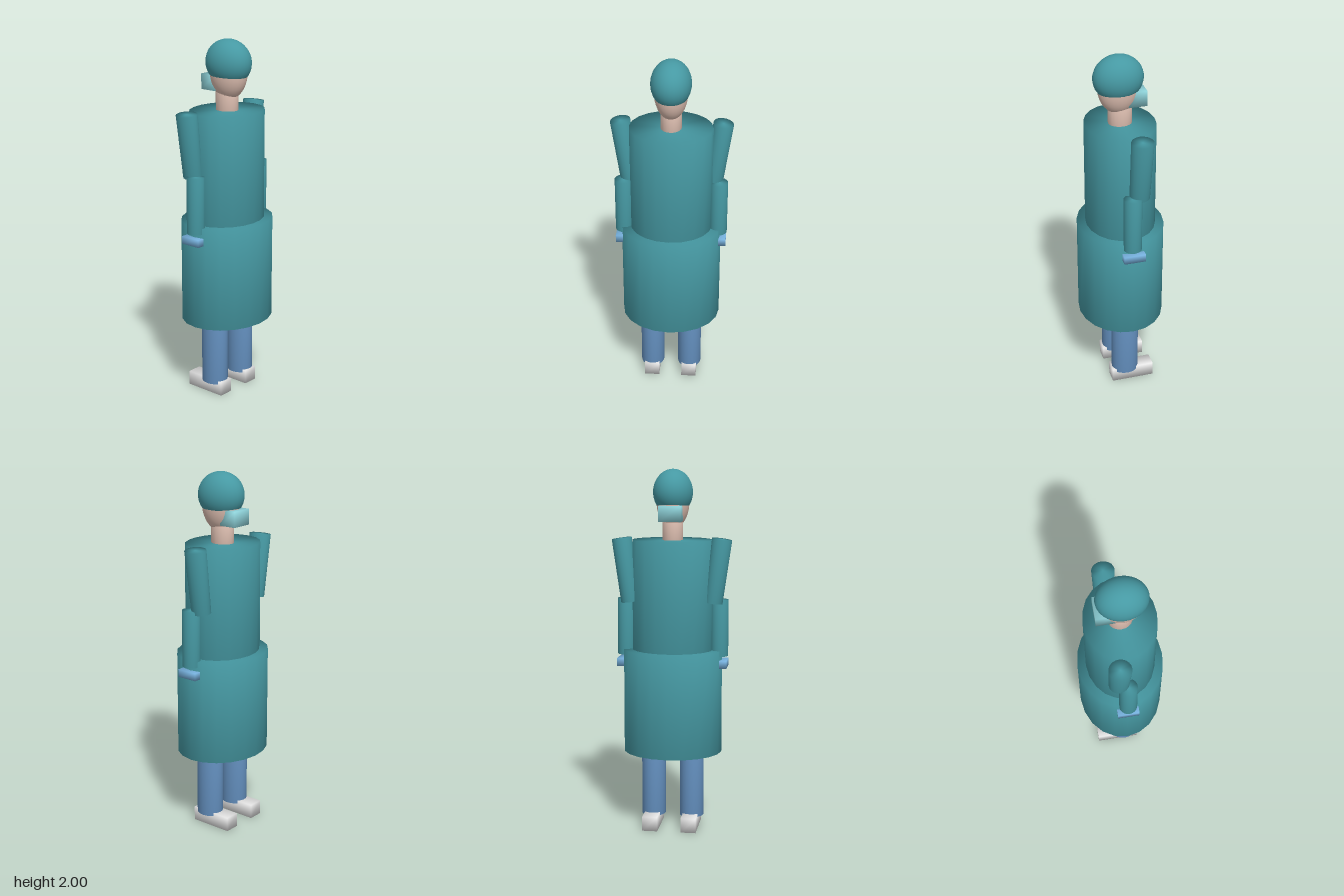
import * as THREE from 'three';
import { mergeVertices } from 'three/addons/utils/BufferGeometryUtils.js';

const paint = (name, color) => {
  const m = new THREE.MeshStandardMaterial({ color });
  m.name = name;
  return m;
};

// Share vertices across edges so the shading rolls softly over them
function soften(geometry) {
  geometry.deleteAttribute('uv');
  geometry.deleteAttribute('normal');
  const g = mergeVertices(geometry, 1e-4);
  g.computeVertexNormals();
  return g;
}

export function createModel() {
  const model = new THREE.Group();
  model.name = 'surgeon';

  const teal = paint('surgical teal', 0x4699a3);
  const skin = paint('skin', 0xdebfb1);
  const trouserBlue = paint('trouser blue', 0x6490bf);
  const gloveBlue = paint('glove blue', 0x76b0dc);
  const maskBlue = paint('mask pale blue', 0x8fd3da);
  const shoeWhite = paint('shoe white', 0xe8e8e8);

  const add = (name, geometry, material, x, y, z) => {
    const mesh = new THREE.Mesh(geometry, material);
    mesh.name = name;
    mesh.position.set(x, y, z);
    model.add(mesh);
    return mesh;
  };

  // Closed elliptical column between two heights
  const column = (rx, rz, y0, y1, segments = 20) =>
    soften(new THREE.CylinderGeometry(1, 1, y1 - y0, segments).scale(rx, 1, rz));
  const addColumn = (name, material, x, z, rx, rz, y0, y1) =>
    add(name, column(rx, rz, y0, y1), material, x, (y0 + y1) / 2, z);

  // Gown
  addColumn('gownSkirt', teal, 0, 0, 0.275, 0.238, 0.435, 1.012);
  addColumn('gownTorso', teal, 0, 0, 0.225, 0.191, 1.0, 1.617);

  // Head, neck and cap
  addColumn('neck', skin, 0, 0, 0.057, 0.065, 1.58, 1.74);
  add('head', new THREE.SphereGeometry(1, 28, 20).scale(0.09, 0.155, 0.113), skin, 0, 1.83, 0.01);
  const capCut = Math.acos(-0.6);
  const capSide = new THREE.SphereGeometry(1, 28, 20, 0, Math.PI * 2, 0, capCut);
  const cap = add('cap', capSide.scale(0.108, 0.125, 0.136), teal, 0, 1.875, 0.01);
  cap.rotation.x = 0.1;
  // Underside of the cap around the head
  const brim = new THREE.Mesh(
    new THREE.CircleGeometry(Math.sin(capCut), 28).rotateX(Math.PI / 2).scale(0.108, 1, 0.136), teal);
  brim.name = 'capUnderside';
  brim.position.y = -0.6 * 0.125;
  cap.add(brim);

  // Face mask
  add('mask', soften(new THREE.BoxGeometry(0.123, 0.085, 0.1)), maskBlue, 0, 1.764, -0.082);

  // Limbs, mirrored
  for (const side of [1, -1]) {
    const label = side > 0 ? 'left' : 'right';

    const upperArm = add(label + 'UpperArm',
      soften(new THREE.CylinderGeometry(0.055, 0.05, 0.35, 20).scale(1, 1, 1.1)),
      teal, side * 0.253, 1.453, -0.043);
    upperArm.rotation.z = -side * 0.13;

    addColumn(label + 'Forearm', teal, side * 0.26, 0.003, 0.049, 0.05, 0.98, 1.292);
    add(label + 'Glove', soften(new THREE.BoxGeometry(0.08, 0.042, 0.12)),
      gloveBlue, side * 0.265, 0.938, 0);

    addColumn(label + 'Leg', trouserBlue, side * 0.108, 0.002, 0.067, 0.077, 0.062, 0.5);
    add(label + 'Shoe', soften(new THREE.BoxGeometry(0.085, 0.08, 0.243)),
      shoeWhite, side * 0.108, 0.04, -0.037);
  }

  return model;
}
